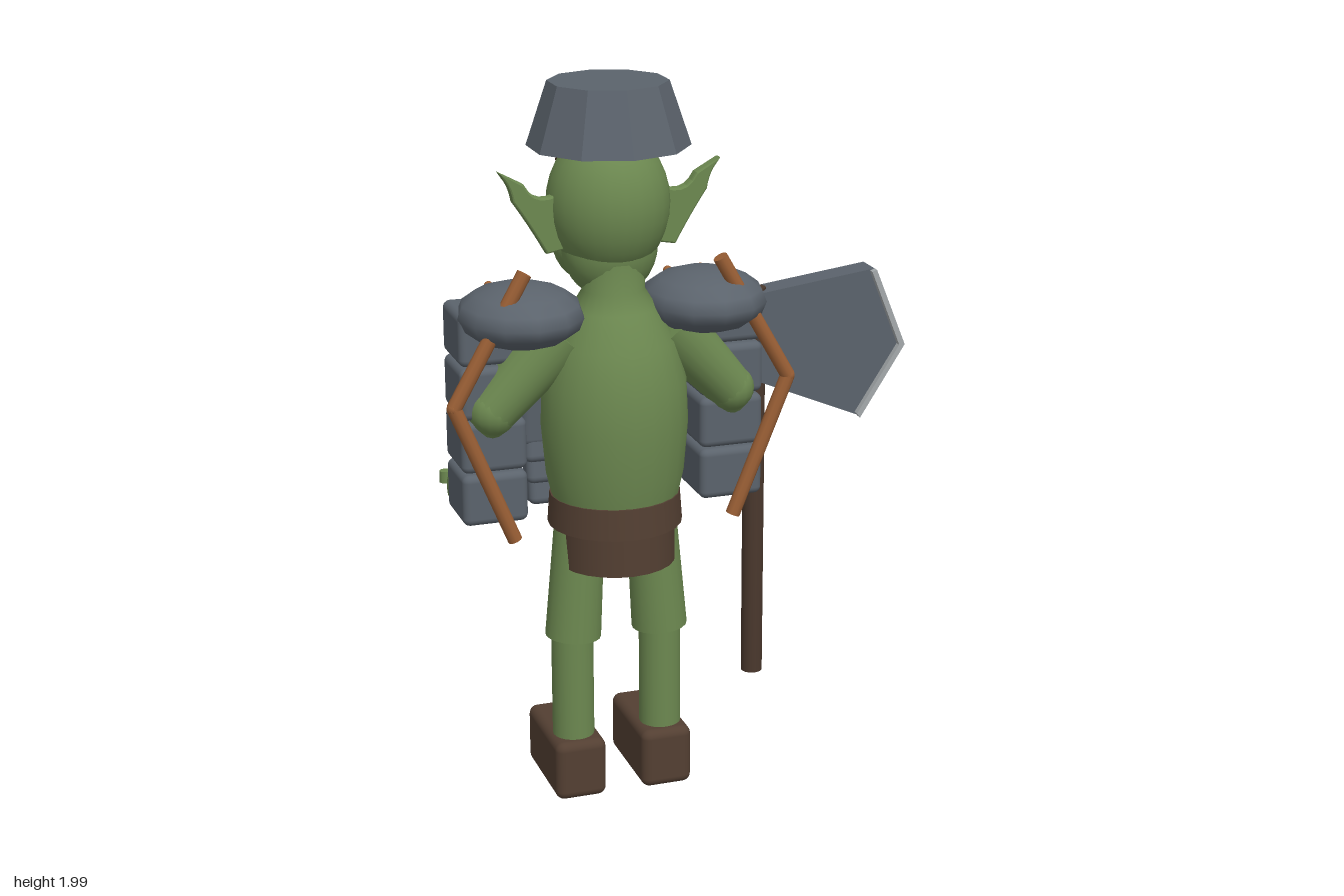
import * as THREE from 'three';
import { RoundedBoxGeometry } from 'three/addons/geometries/RoundedBoxGeometry.js';

const mat = (name, color, side = THREE.FrontSide) => {
  const m = new THREE.MeshStandardMaterial({ color, side });
  m.name = name;
  return m;
};

export function createModel() {
  const skin = mat('green skin', 0x6c8850, THREE.DoubleSide);
  const steel = mat('dull steel', 0x5b636c);
  const edge = mat('bright edge', 0xa4a9ab);
  const leather = mat('brown leather', 0x533f32);
  const wood = mat('dark wood', 0x4a382d);
  const copper = mat('copper', 0x9a5f35);
  const dark = mat('dark brown', 0x3a241a);
  const red = mat('red eye', 0x8a3020);

  const model = new THREE.Group();
  model.name = 'armouredCreature';
  const body = new THREE.Group();
  body.name = 'body';
  body.position.x = -0.21;
  model.add(body);

  const add = (name, geo, material, x = 0, y = 0, z = 0, parent = body) => {
    const m = new THREE.Mesh(geo, material);
    m.name = name;
    m.position.set(x, y, z);
    parent.add(m);
    return m;
  };
  const ball = (name, material, p, r, ws = 24, hs = 16) => {
    const m = add(name, new THREE.SphereGeometry(1, ws, hs), material, ...p);
    m.scale.set(...r);
    return m;
  };
  // Tapered rod between two points
  const rod = (name, material, a, b, ra, rb = ra, sides = 16, parent = body) => {
    const p = new THREE.Vector3(...a), q = new THREE.Vector3(...b);
    const d = q.clone().sub(p);
    const mid = p.clone().add(q).multiplyScalar(0.5);
    const m = add(name, new THREE.CylinderGeometry(rb, ra, d.length(), sides), material, mid.x, mid.y, mid.z, parent);
    m.quaternion.setFromUnitVectors(new THREE.Vector3(0, 1, 0), d.normalize());
    return m;
  };
  const block = (name, material, size, pos, r = 0.02) =>
    add(name, new RoundedBoxGeometry(...size, 3, r), material, ...pos);
  const faceted = geo => {
    const g = geo.toNonIndexed();
    g.computeVertexNormals();
    return g;
  };

  // Torso and neck
  const profile = [[0.165, 0.84], [0.188, 0.94], [0.2, 1.08], [0.195, 1.2], [0.165, 1.31],
    [0.115, 1.4], [0.085, 1.45], [0.08, 1.55]].map(p => new THREE.Vector2(...p));
  add('torso', new THREE.LatheGeometry(profile, 24), skin, 0, 0, 0.05).scale.z = 0.95;

  // Head and face
  ball('head', skin, [0, 1.675, 0.01], [0.165, 0.2, 0.162]);
  ball('jaw', skin, [0, 1.545, -0.08], [0.125, 0.11, 0.112]);
  ball('skullBase', skin, [0, 1.56, 0.02], [0.13, 0.14, 0.11]);
  ball('nose', skin, [0, 1.665, -0.18], [0.052, 0.05, 0.06]);
  ball('noseBridge', skin, [0, 1.71, -0.15], [0.032, 0.055, 0.05]);
  block('mouth', dark, [0.12, 0.012, 0.03], [0, 1.55, -0.187], 0.004);

  // Helmet
  add('helmet', faceted(new THREE.CylinderGeometry(0.16, 0.217, 0.17, 10)), steel, 0, 1.915, 0.02);

  // Belt and skirt
  add('belt', new THREE.CylinderGeometry(0.178, 0.184, 0.085, 24), leather, 0, 0.842, 0.045);
  const skirt = add('skirt', new THREE.CylinderGeometry(0.16, 0.162, 0.13, 24), leather, 0, 0.755, 0.055);
  skirt.scale.z = 0.98;

  // Tilted breastplate with overlapping lames below
  block('breastplate', steel, [0.43, 0.36, 0.06], [0, 1.15, -0.13], 0.025).rotation.x = 0.1;
  for (let i = 0; i < 3; i++) {
    block('waistLame', steel, [0.41 - i * 0.015, 0.085, 0.066], [0, 0.965 - i * 0.065, -0.148 - i * 0.008]).rotation.x = -0.12;
  }

  for (const s of [-1, 1]) {
    // Eye in a dark socket
    ball('eyeSocket', dark, [s * 0.068, 1.73, -0.127], [0.036, 0.034, 0.024], 16, 12);
    ball('eye', red, [s * 0.07, 1.728, -0.14], [0.02, 0.02, 0.018], 12, 8);
    block('brow', dark, [0.06, 0.012, 0.025], [s * 0.068, 1.758, -0.14], 0.004).rotation.z = s * 0.3;

    // Pointed ear
    const ear = new THREE.Shape();
    ear.moveTo(s * 0.12, 1.72);
    ear.quadraticCurveTo(s * 0.205, 1.67, s * 0.24, 1.74);
    ear.lineTo(s * 0.298, 1.775);
    ear.quadraticCurveTo(s * 0.27, 1.75, s * 0.262, 1.7);
    ear.quadraticCurveTo(s * 0.22, 1.64, s * 0.175, 1.56);
    ear.lineTo(s * 0.12, 1.57);
    add('ear', new THREE.ExtrudeGeometry(ear, { depth: 0.02, bevelThickness: 0.008, bevelSize: 0.005, bevelSegments: 2, curveSegments: 6 }),
      skin, 0, 0, 0.015);

    // Leg and boot
    rod('thigh', skin, [s * 0.125, 0.475, 0.05], [s * 0.1, 0.84, 0.05], 0.077, 0.068, 20);
    rod('shin', skin, [s * 0.127, 0.18, 0.047], [s * 0.127, 0.5, 0.047], 0.058, 0.058, 20);
    block('boot', leather, [0.145, 0.172, 0.305], [s * 0.125, 0.092, -0.027], 0.025);

    // Arm and hand
    rod('upperArm', skin, [s * 0.15, 1.34, 0.05], [s * 0.335, 1.14, 0.04], 0.085, 0.065, 20);
    ball('elbow', skin, [s * 0.335, 1.14, 0.04], [0.066, 0.066, 0.066], 16, 12);
    rod('forearm', skin, [s * 0.335, 1.14, 0.04], [s * 0.36, 0.92, -0.125], 0.06, 0.045, 20);
    ball('hand', skin, [s * 0.36, 0.875, -0.14], [0.063, 0.075, 0.055], 16, 12);
    for (let i = 0; i < 4; i++) {
      rod('finger', skin, [s * 0.36 + (i - 1.5) * 0.036, 0.872, -0.195], [s * 0.36 + (i - 1.5) * 0.036, 0.905, -0.195], 0.016, 0.016, 8);
    }

    // Stacked arm plates with rivets
    for (let i = 0; i < 4; i++) {
      block('armPlate', steel, [0.18, 0.143, 0.19], [s * 0.335, 0.897 + i * 0.148, -0.035], 0.02);
    }
    for (const y of [1.05, 1.195, 1.34]) ball('armRivet', copper, [s * 0.335, y, -0.185], [0.015, 0.015, 0.015], 10, 8);

    // Shoulder guard with rivets
    ball('shoulderGuard', steel, [s * 0.255, 1.4, 0.045], [0.17, 0.085, 0.187], 12, 8);
    for (const x of [0.205, 0.3]) ball('shoulderRivet', copper, [s * x, 1.443, -0.107], [0.013, 0.013, 0.013], 10, 8);

    // Bent copper strut behind the arm
    const elbow = [s * 0.464, 1.19, 0.14];
    rod('lowerStrut', copper, [s * 0.308, 0.808, 0.14], elbow, 0.02, 0.02, 10);
    rod('upperStrut', copper, elbow, [s * 0.268, 1.535, 0.14], 0.02, 0.02, 10);
    ball('strutJoint', copper, elbow, [0.02, 0.02, 0.02], 10, 8);
  }

  // Standing axe
  const axe = new THREE.Group();
  axe.name = 'axe';
  model.add(axe);
  rod('axeHandle', wood, [0.256, 0.215, -0.12], [0.256, 1.37, -0.12], 0.031, 0.031, 12, axe);
  const outline = [[0.257, 1.362], [0.597, 1.405], [0.684, 1.18], [0.556, 0.978], [0.257, 1.105]];
  const slab = (pts, depth) => new THREE.ExtrudeGeometry(
    new THREE.Shape(pts.map(p => new THREE.Vector2(...p))), { depth, bevelEnabled: false });
  add('axeBlade', slab(outline, 0.08), steel, 0, 0, -0.155, axe);
  const cutting = [[0.597, 1.405], [0.688, 1.18], [0.556, 0.975], [0.546, 0.988], [0.671, 1.18], [0.583, 1.4]];
  add('axeEdge', slab(cutting, 0.018), edge, 0, 0, -0.075, axe);

  return model;
}
